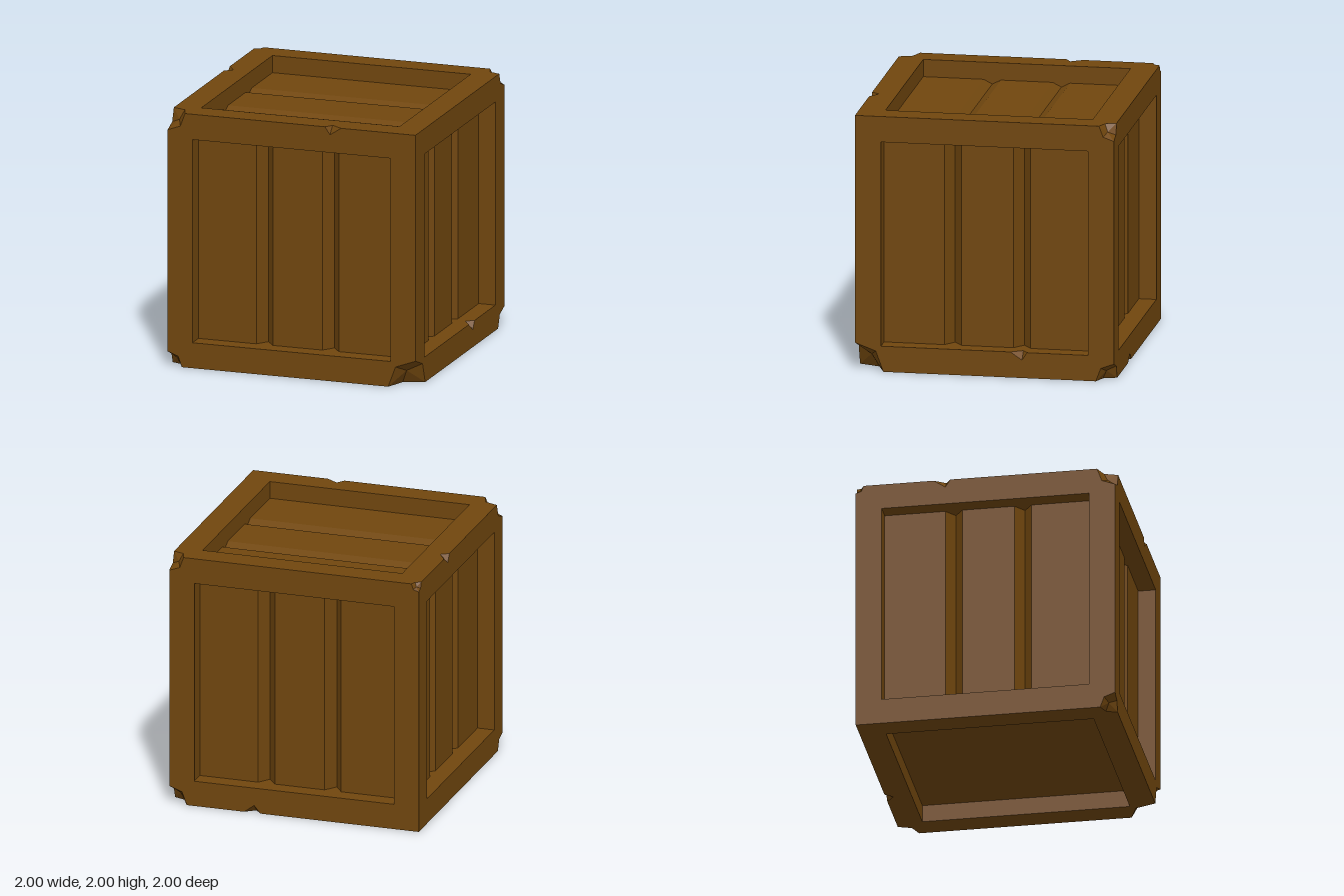
import * as THREE from 'three';

const V = (x, y, z) => new THREE.Vector3(x, y, z);
const wood = new THREE.MeshStandardMaterial({ color: 0x70460e, flatShading: true, side: THREE.DoubleSide });

const IN = 0.8;       // half width of the recessed panels
const RECESS = 0.135; // depth of the panels behind the frame

// Worn corners: signs of x, y, z and the size of the chip
const CHIPS = [
  [-1, 1, 1, 0.14], [-1, -1, 1, 0.115], [1, -1, 1, 0.22],
  [1, -1, -1, 0.14], [1, 1, -1, 0.115], [-1, 1, -1, 0.06],
];

// Notches in the outer edges: edge position, edge axis, start / deepest / end along it
const NICKS = [
  { base: V(0, 1, 1), axis: V(1, 0, 0), at: [0.27, 0.31, 0.4] },
  { base: V(-1, 1, 0), axis: V(0, 0, 1), at: [-0.4, -0.31, -0.27] },
  { base: V(0, -1, -1), axis: V(1, 0, 0), at: [0.27, 0.32, 0.4] },
];
const NICK_DEPTH = 0.06;

// Sides of the crate: across, along the planks, outward normal, groove depth
const SIDES = [
  ['front', V(1, 0, 0), V(0, 1, 0), V(0, 0, 1), 0.09],
  ['left', V(0, 0, -1), V(0, 1, 0), V(1, 0, 0), 0.09],
  ['back', V(-1, 0, 0), V(0, 1, 0), V(0, 0, -1), 0.09],
  ['right', V(0, 0, 1), V(0, 1, 0), V(-1, 0, 0), 0.09],
  ['top', V(0, 0, 1), V(1, 0, 0), V(0, 1, 0), 0.034],
  ['bottom', V(1, 0, 0), V(0, 0, 1), V(0, -1, 0), 0],
];

// Notch in the inner lip of the left side's lower rail: [across, depth]
const LIP = [[0.2, 0], [0.29, 0.06], [0.33, 0]];

function addMesh(parent, name, geometry) {
  const mesh = new THREE.Mesh(geometry, wood);
  mesh.name = name;
  parent.add(mesh);
  return mesh;
}

function triangles(points) {
  const geometry = new THREE.BufferGeometry().setFromPoints(points);
  geometry.computeVertexNormals();
  return geometry;
}

// Six rim points of a chipped corner, alternating between edges and faces
function chipRim([x, y, z, s]) {
  const c = V(x, y, z), m = 0.73 * s;
  return [[s, 0, 0], [m, m, 0], [0, s, 0], [0, m, m], [0, 0, s], [m, 0, m]]
    .map(([a, b, d]) => c.clone().sub(V(a * x, b * y, d * z)));
}

// Two edge ends and the two deepest points of a notch
function nickPoints({ base, axis, at }) {
  const on = (t) => base.clone().addScaledVector(axis, t);
  const deep = ['x', 'y', 'z'].filter((k) => base[k] !== 0).map((k) => {
    const p = on(at[1]);
    p[k] -= base[k] * NICK_DEPTH;
    return p;
  });
  return [on(at[0]), on(at[2]), ...deep];
}

// Every point of the outer frame outline, over all sides
function outlinePoints() {
  const points = [];
  for (const x of [-1, 1]) for (const y of [-1, 1]) for (const z of [-1, 1]) {
    const chip = CHIPS.find((c) => c[0] === x && c[1] === y && c[2] === z);
    points.push(...(chip ? chipRim(chip) : [V(x, y, z)]));
  }
  NICKS.forEach((n) => points.push(...nickPoints(n)));
  return points;
}

// Square frame face whose outline follows the chips and notches
function frameGeometry(u, v, n, points, lip) {
  const outline = points
    .filter((p) => Math.abs(p.dot(n) - 1) < 1e-6)
    .map((p) => new THREE.Vector2(p.dot(u), p.dot(v)))
    .sort((a, b) => Math.atan2(a.y, a.x) - Math.atan2(b.y, b.x));
  const shape = new THREE.Shape(outline);
  const hole = [[-IN, -IN], ...lip.map(([a, d]) => [a, -IN - d]), [IN, -IN], [IN, IN], [-IN, IN]];
  shape.holes.push(new THREE.Path(hole.map(([a, b]) => new THREE.Vector2(a, b))));
  return new THREE.ShapeGeometry(shape).translate(0, 0, 1);
}

// One inner wall of the recess, reaching behind the plank grooves
function wallGeometry(depth, lip) {
  const pts = [[-IN, -1], ...lip.map(([a, d]) => [a, d - 1]), [IN, -1], [IN, depth - 1], [-IN, depth - 1]];
  const shape = new THREE.Shape(pts.map(([a, b]) => new THREE.Vector2(a, b)));
  return new THREE.ShapeGeometry(shape).rotateX(-Math.PI / 2).translate(0, -IN, 0);
}

// Three planks parted by two V grooves
function planksGeometry(groove) {
  const stops = [-IN, -0.333, -0.267, -0.2, 0.2, 0.267, 0.333, IN];
  const geometry = new THREE.PlaneGeometry(2 * IN, 2 * IN, stops.length - 1, 1);
  const pos = geometry.attributes.position;
  for (let i = 0; i < pos.count; i++) {
    const k = i % stops.length;
    pos.setX(i, stops[k]);
    pos.setZ(i, 1 - RECESS - (k === 2 || k === 5 ? groove : 0));
  }
  geometry.computeVertexNormals();
  return geometry;
}

export function createModel() {
  const model = new THREE.Group();
  model.name = 'crate';
  const body = new THREE.Group();
  body.name = 'crateBody';
  body.position.y = 1;
  model.add(body);

  const points = outlinePoints();
  for (const [name, u, v, n, groove] of SIDES) {
    const side = new THREE.Group();
    side.name = name + 'Side';
    side.quaternion.setFromRotationMatrix(new THREE.Matrix4().makeBasis(u, v, n));
    body.add(side);
    const lip = name === 'left' ? LIP : [];

    addMesh(side, name + 'Frame', frameGeometry(u, v, n, points, lip));
    addMesh(side, name + 'Planks', planksGeometry(groove));
    for (let k = 0; k < 4; k++) {
      const wall = addMesh(side, name + 'RecessWall', wallGeometry(RECESS + groove, k ? [] : lip));
      wall.rotation.z = (k * Math.PI) / 2;
    }
    if (lip.length) {
      const [a, b] = [V(lip[0][0], -IN, 1), V(lip[2][0], -IN, 1)];
      const [m, d] = lip[1];
      const p = V(m, -IN - d, 1), q = V(m, -IN, 1 - d);
      addMesh(side, 'lipNotch', triangles([a, p, q, b, q, p]));
    }
  }

  // Hollow faces of the chipped corners
  for (const chip of CHIPS) {
    const [x, y, z, s] = chip;
    const rim = chipRim(chip);
    const centre = V(x, y, z).multiplyScalar(1 - 0.5 * s);
    const fan = rim.flatMap((p, i) => {
      const next = rim[(i + 1) % 6];
      return x * y * z > 0 ? [centre, p, next] : [centre, next, p];
    });
    addMesh(body, 'cornerChip', triangles(fan));
  }

  // Faces of the edge notches
  for (const nick of NICKS) {
    const [a, b, p, q] = nickPoints(nick);
    addMesh(body, 'edgeNotch', triangles([a, p, q, b, q, p]));
  }
  return model;
}
